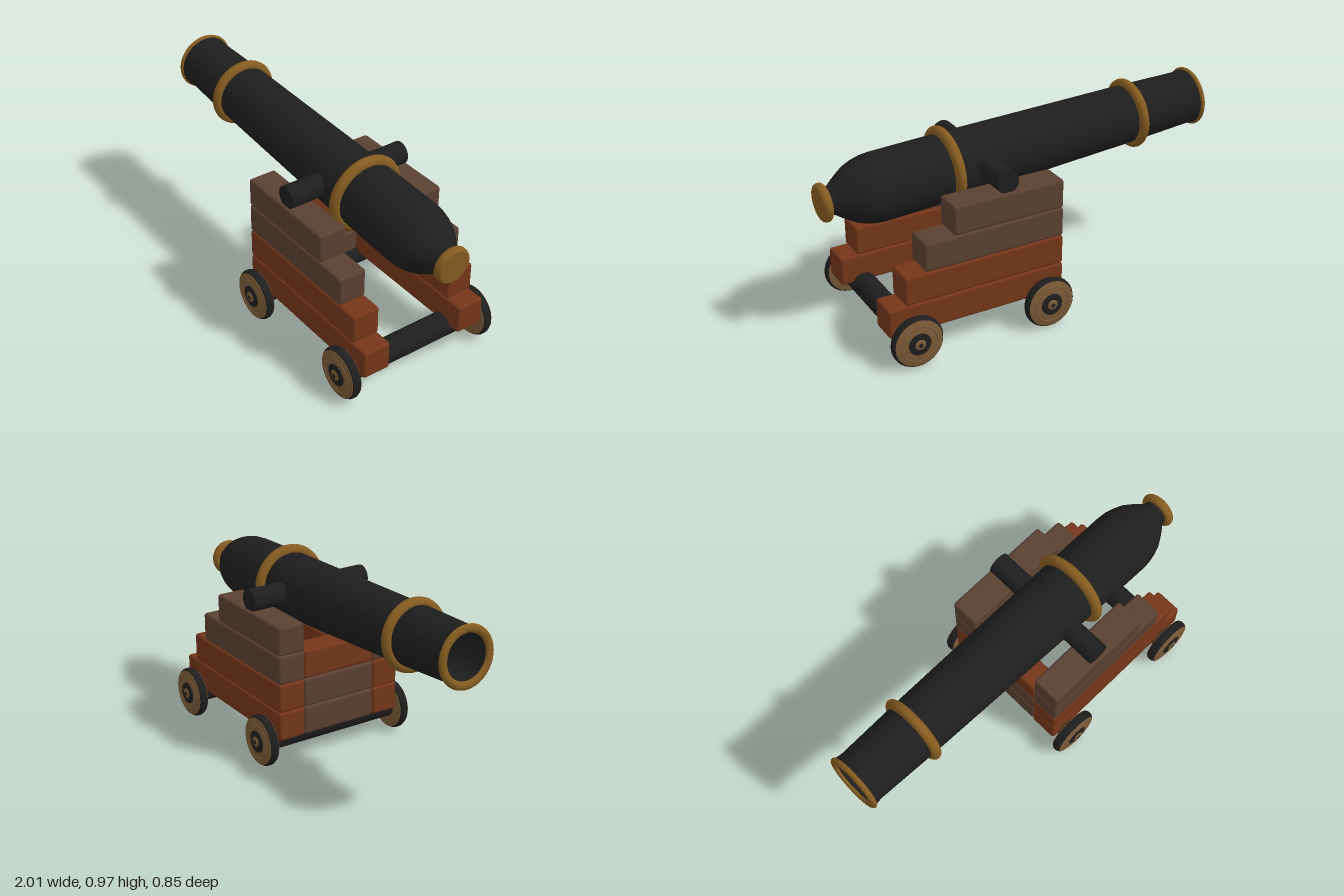
import * as THREE from 'three';
import { toCreasedNormals } from 'three/addons/utils/BufferGeometryUtils.js';
import { RoundedBoxGeometry } from 'three/addons/geometries/RoundedBoxGeometry.js';

const mat = (color) => new THREE.MeshStandardMaterial({ color });
const iron = mat(0x1e1e1e);
const brass = mat(0x855c20);
const redWood = mat(0x743619);
const greyWood = mat(0x5a4032);
const wheelWood = mat(0x7a5a36);

function add(parent, name, geometry, material, x = 0, y = 0, z = 0) {
  const mesh = new THREE.Mesh(geometry, material);
  mesh.name = name;
  mesh.position.set(x, y, z);
  parent.add(mesh);
  return mesh;
}

// Lathe from [radius, height] pairs, with sharp corners kept
function turned(points, segments = 48) {
  const profile = points.map(([r, h]) => new THREE.Vector2(r, h));
  return toCreasedNormals(new THREE.LatheGeometry(profile, segments), 0.6);
}

function plank(parent, name, material, x0, x1, y0, y1, z0, z1) {
  const geometry = new RoundedBoxGeometry(x1 - x0, y1 - y0, z1 - z0, 3, 0.014);
  add(parent, name, geometry, material, (x0 + x1) / 2, (y0 + y1) / 2, (z0 + z1) / 2);
}

function makeBarrel() {
  const barrel = new THREE.Group();
  barrel.name = 'barrel';

  // Hollow tube with a tapering body and a rounded breech
  const body = turned([
    [0, -0.45], [0.105, -0.45], [0.105, -0.985], [0.137, -0.985], [0.131, -0.94],
    [0.142, -0.6], [0.159, 0.38], [0.161, 0.71], [0.158, 0.755], [0.148, 0.8],
    [0.133, 0.84], [0.112, 0.875], [0.088, 0.91], [0.068, 0.935], [0.062, 0.965], [0, 0.965],
  ], 64).rotateZ(-Math.PI / 2);
  add(barrel, 'barrelBody', body, iron);

  // Brass bands: position, ring radius, tube radius, flattening along the barrel
  const bands = [
    ['muzzleRing', -0.986, 0.125, 0.02, 0.7],
    ['frontBand', -0.63, 0.144, 0.028, 0.88],
    ['rearBand', 0.375, 0.165, 0.03, 0.85],
  ];
  for (const [name, x, radius, tube, flat] of bands) {
    const ring = new THREE.TorusGeometry(radius, tube, 16, 64);
    ring.scale(1, 1, flat).rotateY(Math.PI / 2);
    add(barrel, name, ring, brass, x);
  }

  // Button at the back of the breech
  const knob = turned([
    [0, 0.957], [0.078, 0.957], [0.086, 0.963], [0.09, 0.972],
    [0.09, 0.982], [0.086, 0.992], [0.078, 0.998], [0, 0.998],
  ]).rotateZ(-Math.PI / 2);
  add(barrel, 'breechKnob', knob, brass);

  barrel.position.y = 0.768;
  barrel.rotation.z = -0.053;
  return barrel;
}

function makeWheel() {
  const wheel = new THREE.Group();
  wheel.name = 'wheel';
  // Iron tyre with rounded shoulders
  const tyre = turned([
    [0, -0.025], [0.108, -0.025], [0.12, -0.02], [0.126, -0.008],
    [0.126, 0.008], [0.12, 0.02], [0.108, 0.025], [0, 0.025],
  ]).rotateX(Math.PI / 2);
  add(wheel, 'tyre', tyre, iron);
  // Wooden disc on both faces
  const disc = turned([
    [0, -0.029], [0.1, -0.029], [0.116, -0.024], [0.116, 0.024], [0.1, 0.029], [0, 0.029],
  ]).rotateX(Math.PI / 2);
  add(wheel, 'wheelDisc', disc, wheelWood);
  // Raised trim line, iron hub plate and hub cap
  add(wheel, 'wheelTrim', new THREE.TorusGeometry(0.088, 0.004, 8, 48), wheelWood, 0, 0, 0.028);
  const plate = turned([[0, 0], [0.056, 0], [0.054, 0.033], [0.046, 0.036], [0, 0.036]]);
  add(wheel, 'hubPlate', plate.rotateX(Math.PI / 2), iron);
  const cap = turned([[0, 0], [0.026, 0], [0.026, 0.038], [0.02, 0.042], [0, 0.042]], 32);
  add(wheel, 'hubCap', cap.rotateX(Math.PI / 2), wheelWood);
  add(wheel, 'axlePin', new THREE.SphereGeometry(0.011, 16, 8).scale(1, 1, 0.4), iron, 0, 0, 0.042);
  return wheel;
}

export function createModel() {
  const cannon = new THREE.Group();
  cannon.name = 'cannon';
  cannon.add(makeBarrel());

  // Trunnion resting on the cheeks
  const trunnion = new THREE.CylinderGeometry(0.055, 0.055, 0.65, 40).rotateX(Math.PI / 2);
  add(cannon, 'trunnion', trunnion, iron, 0.222, 0.768, 0);

  // Stepped cheeks on both sides, and boards closing the front
  const carriage = new THREE.Group();
  carriage.name = 'carriage';
  cannon.add(carriage);
  const rowY = (i) => 0.145 + i * 0.144;
  [0.835, 0.75, 0.648, 0.5].forEach((end, i) => {
    const material = i < 2 ? redWood : greyWood;
    plank(carriage, 'leftCheekPlank', material, -0.062, end, rowY(i), rowY(i + 1), 0.197, 0.34);
    plank(carriage, 'rightCheekPlank', material, -0.062, end, rowY(i), rowY(i + 1), -0.34, -0.197);
  });
  [greyWood, greyWood, redWood].forEach((material, i) => {
    plank(carriage, 'crossBoard', material, -0.06, 0.07, rowY(i), rowY(i + 1) - 0.002, -0.198, 0.198);
  });

  // Two axles with a wheel at each end
  for (const x of [0.038, 0.722]) {
    const axle = new THREE.CylinderGeometry(0.06, 0.06, 0.72, 32).rotateX(Math.PI / 2);
    add(cannon, 'axle', axle, iron, x, 0.128, 0);
    for (const side of [1, -1]) {
      const wheel = makeWheel();
      wheel.position.set(x, 0.127, side * 0.38);
      if (side < 0) wheel.rotation.y = Math.PI;
      cannon.add(wheel);
    }
  }
  return cannon;
}
